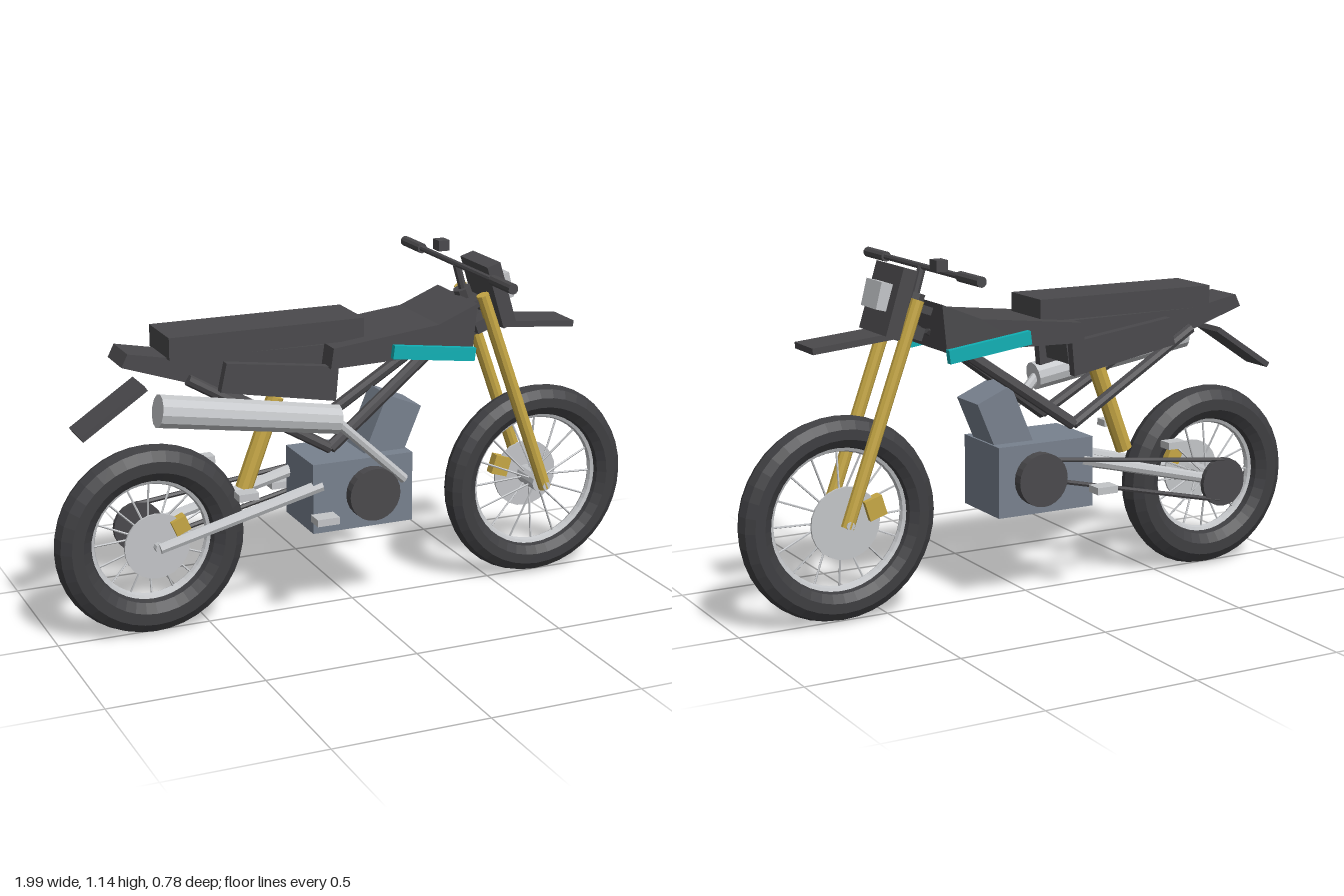
import * as THREE from 'three';

export function createModel() {
  const model = new THREE.Group();
  model.name = 'dirtBike';
  const mat = (name, color, flatShading = true) => {
    const m = new THREE.MeshStandardMaterial({ color, flatShading });
    m.name = name;
    return m;
  };
  const dark = mat('darkBody', 0x4a494c);
  const rubber = mat('tyreRubber', 0x3e3e41);
  const silver = mat('silver', 0xc3c5c8);
  const gold = mat('gold', 0xc6a745);
  const teal = mat('teal', 0x10b0b5);
  const engineGrey = mat('engineGrey', 0x78818e);

  const add = (name, geo, material, x = 0, y = 0, z = 0, rz = 0, parent = model) => {
    const m = new THREE.Mesh(geo, material);
    m.name = name;
    m.position.set(x, y, z);
    m.rotation.z = rz;
    parent.add(m);
    return m;
  };
  const box = (name, material, w, h, d, x, y, z, rz = 0) =>
    add(name, new THREE.BoxGeometry(w, h, d), material, x, y, z, rz);
  // Cylinder between two points
  const rod = (name, material, a, b, r, r2 = r, sides = 8, parent = model) => {
    const p = new THREE.Vector3(...a), q = new THREE.Vector3(...b);
    const dir = q.clone().sub(p);
    const m = add(name, new THREE.CylinderGeometry(r2, r, dir.length(), sides), material, 0, 0, 0, 0, parent);
    m.position.copy(p).add(q).multiplyScalar(0.5);
    m.quaternion.setFromUnitVectors(new THREE.Vector3(0, 1, 0), dir.normalize());
    return m;
  };
  // Side outline extruded across the bike
  const slab = (name, material, pts, width, z = 0) => {
    const s = new THREE.Shape(pts.map(p => new THREE.Vector2(...p)));
    const g = new THREE.ExtrudeGeometry(s, { depth: width, bevelEnabled: false });
    return add(name, g, material, 0, 0, z - width / 2);
  };

  // Wheels
  const wheel = (name, x, y, major, minor, discZ, discR) => {
    const w = new THREE.Group();
    w.name = name;
    w.position.set(x, y, 0);
    model.add(w);
    const inner = major - minor;
    add('tyre', new THREE.TorusGeometry(major, minor, 10, 40), rubber, 0, 0, 0, 0, w);
    add('rim', new THREE.TorusGeometry(inner + 0.006, 0.016, 8, 40), silver, 0, 0, 0, 0, w);
    rod('hub', silver, [0, 0, -0.06], [0, 0, 0.06], 0.032, 0.032, 12, w);
    rod('axle', silver, [0, 0, -0.1], [0, 0, 0.1], 0.014, 0.014, 8, w);
    for (let i = 0; i < 16; i++) {
      const a = (i / 16) * Math.PI * 2, s = i % 2 ? 0.025 : -0.025;
      rod('spoke', silver, [Math.cos(a) * 0.025, Math.sin(a) * 0.025, s],
        [Math.cos(a) * inner, Math.sin(a) * inner, 0], 0.0035, 0.0035, 5, w);
    }
    rod('brakeDisc', silver, [0, 0, discZ - 0.004], [0, 0, discZ + 0.004], discR, discR, 24, w);
  };
  wheel('rearWheel', -0.69, 0.315, 0.25, 0.06, 0.07, 0.106);
  wheel('frontWheel', 0.665, 0.335, 0.275, 0.052, -0.058, 0.115);
  box('rearCaliper', gold, 0.05, 0.05, 0.035, -0.615, 0.375, 0.07, 0.4);
  box('frontCaliper', gold, 0.06, 0.065, 0.035, 0.57, 0.375, -0.062, -0.3);

  // Engine
  box('engineBlock', engineGrey, 0.345, 0.23, 0.23, -0.012, 0.41, 0);
  box('engineCylinder', engineGrey, 0.13, 0.22, 0.14, 0.108, 0.585, 0, -0.4);
  rod('engineCover', dark, [0.016, 0.41, -0.15], [0.016, 0.41, 0.15], 0.087, 0.087, 24);

  // Final drive
  rod('rearSprocket', dark, [-0.69, 0.315, -0.132], [-0.69, 0.315, -0.114], 0.082, 0.082, 20);
  rod('chainTop', dark, [-0.69, 0.39, -0.125], [-0.05, 0.465, -0.125], 0.008, 0.008, 6);
  rod('chainBottom', dark, [-0.69, 0.25, -0.125], [-0.05, 0.395, -0.125], 0.008, 0.008, 6);

  // Parts repeated on both sides
  for (const s of [1, -1]) {
    rod('swingarm', silver, [-0.69, 0.315, s * 0.1], [-0.15, 0.45, s * 0.1], 0.017, 0.021);
    rod('downTube', dark, [0.36, 0.91, s * 0.025], [-0.12, 0.57, s * 0.1], 0.02);
    rod('rearFrameTube', dark, [-0.12, 0.57, s * 0.1], [-0.58, 0.84, s * 0.08], 0.018);
    rod('forkLeg', gold, [0.668, 0.325, s * 0.08], [0.42, 1.01, s * 0.08], 0.021, 0.021, 10);
    box('tankStripe', teal, 0.287, 0.043, 0.022, 0.213, 0.858, s * 0.154, -0.13);
    slab('sidePanel', dark, [[-0.49, 0.8], [-0.11, 0.73], [-0.1, 0.84], [-0.47, 0.89]], 0.03, s * 0.11);
    box('passengerPeg', silver, 0.065, 0.023, 0.048, -0.44, 0.487, s * 0.198);
    box('footPeg', silver, 0.075, 0.023, 0.057, -0.177, 0.37, s * 0.196);
    rod('grip', dark, [0.365, 1.1, s * 0.255], [0.365, 1.1, s * 0.39], 0.017, 0.017, 10);
  }

  // Rear shock
  rod('rearShock', gold, [-0.375, 0.44, 0], [-0.265, 0.73, 0], 0.028, 0.028, 10);

  // Exhaust
  rod('muffler', silver, [-0.705, 0.778, 0.162], [-0.122, 0.682, 0.162], 0.052, 0.047, 12);
  rod('exhaustPipe', silver, [-0.14, 0.69, 0.16], [0.13, 0.44, 0.115], 0.017);

  // Bodywork
  box('seat', dark, 0.64, 0.07, 0.19, -0.322, 0.945, 0);
  slab('tank', dark, [[-0.135, 0.84], [0.07, 0.845], [0.355, 0.85], [0.37, 1.0], [0.235, 0.945], [-0.125, 0.905]], 0.29);
  slab('tail', dark, [[-0.785, 0.897], [-0.48, 0.795], [-0.12, 0.76], [-0.1, 0.9], [-0.6, 0.905], [-0.765, 0.937]], 0.14);
  box('rearFender', dark, 0.25, 0.018, 0.12, -0.81, 0.752, 0, 0.59);
  box('frontFender', dark, 0.31, 0.02, 0.135, 0.61, 0.892, 0, -0.09);

  // Front end
  rod('headStock', dark, [0.44, 0.87, 0], [0.385, 1.02, 0], 0.03);
  box('lowerClamp', dark, 0.06, 0.04, 0.16, 0.43, 0.91, 0, 0.35);
  box('upperClamp', dark, 0.06, 0.025, 0.16, 0.4, 0.98, 0, 0.35);
  rod('barRiser', dark, [0.4, 0.98, 0], [0.365, 1.1, 0], 0.014);
  box('headlightMask', dark, 0.048, 0.215, 0.193, 0.482, 1.005, 0, 0.3);
  box('headlight', silver, 0.04, 0.085, 0.108, 0.519, 1.023, 0, 0.25);

  // Handlebar
  rod('handlebar', dark, [0.365, 1.1, -0.27], [0.365, 1.1, 0.27], 0.01);
  box('barSwitch', dark, 0.038, 0.035, 0.046, 0.396, 1.126, -0.176);

  return model;
}
